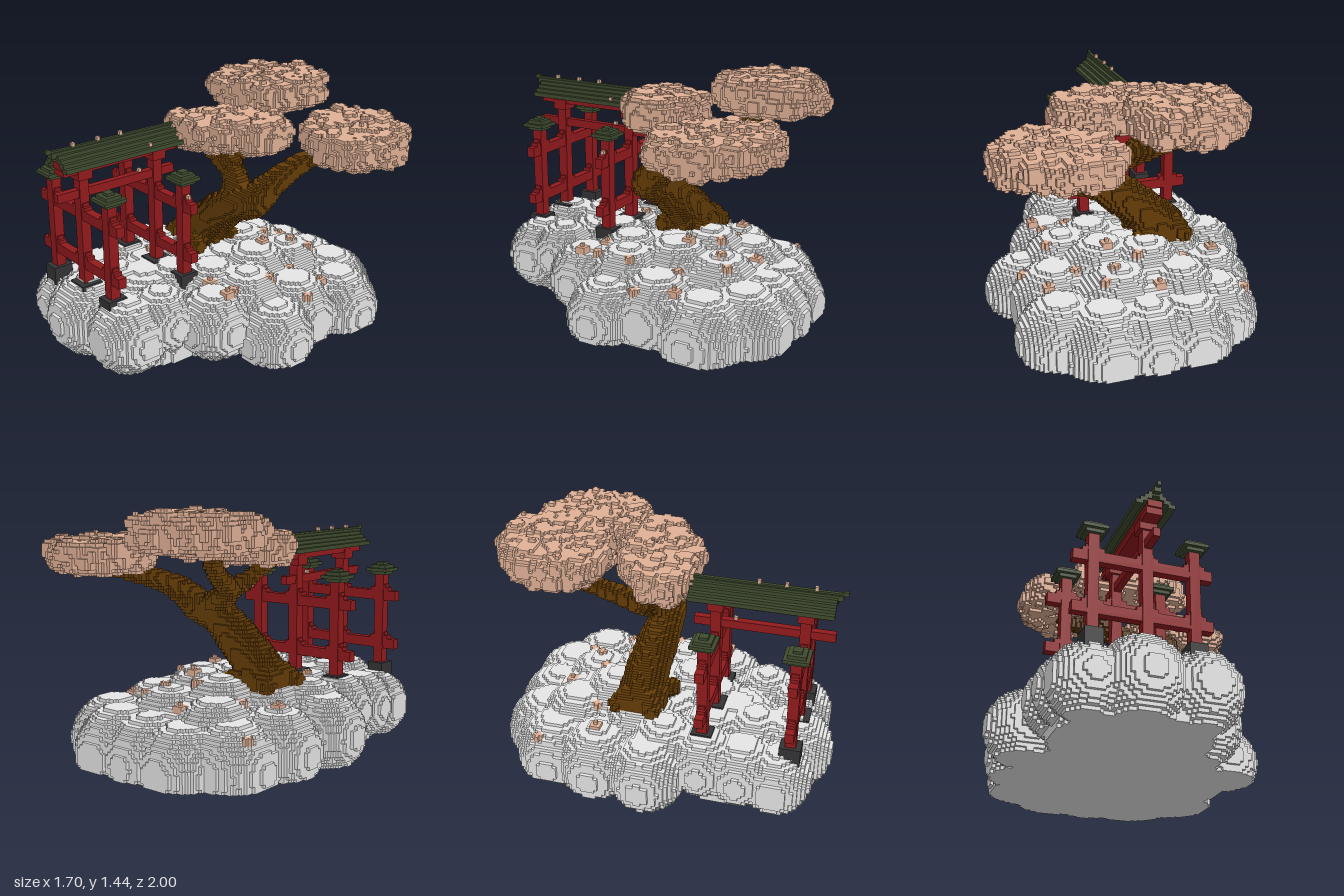
import * as THREE from 'three';

const S = 0.02; // voxel size
const mat = (name, color) => {
  const m = new THREE.MeshStandardMaterial({ color });
  m.name = name;
  return m;
};

export function createModel() {
  const M = {
    stone: mat('pale stone', 0xe6e6e6), bark: mat('bark brown', 0x643c06),
    blossom: mat('dusty blossom', 0xe0b197), red: mat('shrine red', 0x921a1d),
    green: mat('roof green', 0x3f4b2f), dark: mat('dark footing', 0x343436),
  };
  const model = new THREE.Group();
  model.name = 'treeAndGate';
  let seed = 7;
  const rand = () => (seed = (seed * 16807) % 2147483647) / 2147483647;

  // Voxel store: one shared grid, each cell remembers its part
  const grid = new Map();
  const key = (x, y, z) => x + 64 + 128 * (y + 1 + 128 * (z + 64));

  // Fill an ellipsoid, turned about y by the given angle
  function blob(part, cx, cy, cz, rx, ry = rx, rz = rx, turn = 0) {
    const R = Math.max(rx, rz), c = Math.cos(turn), s = Math.sin(turn);
    const lo = (v, r) => Math.floor((v - r) / S), hi = (v, r) => Math.ceil((v + r) / S);
    for (let x = lo(cx, R); x <= hi(cx, R); x++)
      for (let y = Math.max(0, lo(cy, ry)); y <= hi(cy, ry); y++)
        for (let z = lo(cz, R); z <= hi(cz, R); z++) {
          const dx = (x + 0.5) * S - cx, dy = (y + 0.5) * S - cy, dz = (z + 0.5) * S - cz;
          const u = (dx * c - dz * s) / rx, w = (dx * s + dz * c) / rz;
          if (u * u + w * w + (dy / ry) ** 2 <= 1) grid.set(key(x, y, z), [x, y, z, part]);
        }
  }

  // Stamp spheres along a curve; points are [x, y, z, radius]
  function limb(part, pts) {
    const curve = new THREE.CatmullRomCurve3(pts.map(p => new THREE.Vector3(p[0], p[1], p[2])));
    const n = 40;
    for (let i = 0; i <= n; i++) {
      const t = i / n, p = curve.getPoint(t), f = t * (pts.length - 1);
      const k = Math.min(Math.floor(f), pts.length - 2);
      blob(part, p.x, p.y, p.z, THREE.MathUtils.lerp(pts[k][3], pts[k + 1][3], f - k));
    }
  }

  // Rock: broad cores with rounded boulders around and on top
  blob('rock', -0.04, 0, -0.2, 0.57, 0.42, 0.74);
  blob('rock', -0.15, 0, 0.42, 0.44, 0.42, 0.42);
  [
    [-0.49, 0.18, 0.72, 0.2], [-0.22, 0.2, 0.76, 0.24], [0.12, 0.2, 0.73, 0.22],
    [0.17, 0.25, 0.54, 0.19], [0.33, 0.2, 0.28, 0.21], [0.54, 0.1, 0, 0.22],
    [0.3, 0.2, 0, 0.24], [0.42, 0.12, -0.26, 0.25], [0.47, 0.08, -0.58, 0.25],
    [0.26, 0.07, -0.73, 0.26], [0.02, 0.07, -0.75, 0.25], [-0.22, 0.06, -0.74, 0.25],
    [-0.43, 0.08, -0.6, 0.25], [-0.52, 0.12, -0.32, 0.24], [-0.62, 0.17, 0, 0.22],
    [-0.46, 0.22, 0.06, 0.22], [-0.5, 0.23, 0.3, 0.2], [-0.5, 0.21, 0.52, 0.2],
    [-0.25, 0.22, 0.55, 0.22], [-0.05, 0.23, 0.28, 0.22], [0.12, 0.22, -0.22, 0.25],
    [-0.12, 0.245, -0.32, 0.235], [-0.3, 0.22, -0.12, 0.24], [0.1, 0.18, -0.5, 0.24],
    [-0.25, 0.17, -0.52, 0.24], [-0.28, 0.22, 0.3, 0.21], [0.1, 0.23, 0.1, 0.22],
  ].forEach(b => blob('rock', ...b));

  // Trunk, roots and branches
  limb('trunk', [[-0.29, 0.44, -0.12, 0.14], [-0.2, 0.54, -0.12, 0.125], [-0.06, 0.66, -0.1, 0.115],
    [0.1, 0.77, -0.08, 0.1], [0.23, 0.82, -0.1, 0.095], [0.28, 0.91, -0.19, 0.075],
    [0.31, 1.0, -0.38, 0.055], [0.36, 1.04, -0.52, 0.045], [0.47, 1.07, -0.62, 0.035]]);
  limb('trunk', [[0.14, 0.8, -0.09, 0.09], [0.03, 0.88, -0.14, 0.07], [-0.07, 0.95, -0.2, 0.06],
    [-0.13, 1.03, -0.34, 0.05], [-0.2, 1.12, -0.48, 0.045], [-0.27, 1.22, -0.6, 0.04]]);
  limb('trunk', [[-0.04, 0.93, -0.17, 0.06], [-0.14, 1.0, -0.13, 0.045], [-0.21, 1.07, -0.08, 0.04],
    [-0.29, 1.15, -0.03, 0.04]]);
  [[-0.42, -0.02], [-0.39, -0.25], [-0.12, -0.24], [-0.14, 0.02]].forEach(([x, z]) =>
    limb('trunk', [[-0.3, 0.5, -0.12, 0.08], [(x - 0.3) / 2, 0.48, (z - 0.12) / 2, 0.065], [x, 0.44, z, 0.045]]));

  // Blossom pads: a flat core covered in two layers of small puffs
  function pad(part, cx, cy, cz, rx, rz, ry, turn, slope) {
    blob(part, cx, cy, cz, rx * 0.9, ry * 0.8, rz * 0.9, turn);
    const n = 130, c = Math.cos(turn), s = Math.sin(turn);
    for (let i = 0; i < n; i++) {
      const r = Math.sqrt((i + 0.5) / n), a = i * 2.39996;
      const u = Math.cos(a) * r * (rx - 0.06), w = Math.sin(a) * r * (rz - 0.06);
      const lift = (i % 2 ? 1 : -1) * (ry - 0.065) * (1 - 0.45 * r ** 4) + (rand() - 0.5) * 0.03;
      const x = u * c + w * s;
      blob(part, cx + x, cy + lift + x * slope, cz - u * s + w * c, 0.05 + rand() * 0.025);
    }
  }
  pad('backRightBlossom', -0.22, 1.31, -0.63, 0.385, 0.33, 0.112, 0.85, 0.04);
  pad('backLeftBlossom', 0.495, 1.15, -0.645, 0.4, 0.325, 0.105, -0.75, -0.03);
  pad('frontBlossom', 0.025, 1.2, -0.09, 0.41, 0.26, 0.1, 0.36, 0.08);

  // Fallen petals: small tufts resting on the rock
  const petalSpots = [[-0.55, -0.34], [0.11, -0.53], [0.58, -0.23], [0.39, 0.24], [-0.33, 0.23],
    [0.36, 0.16], [0.2, 0.2], [-0.6, -0.68], [0.3, -0.35], [0.1, -0.3], [-0.35, -0.4],
    [0.2, -0.6], [-0.1, -0.65], [0.4, -0.08], [-0.05, -0.45], [0.48, -0.42]];
  petalSpots.forEach(([px, pz], i) => {
    const x = Math.round(px / S), z = Math.round(pz / S);
    let y = 30;
    while (y > 0 && grid.get(key(x, y, z))?.[3] !== 'rock') y--;
    blob('fallenPetals', (x + 0.5) * S, (y + 1) * S, (z + 0.5) * S, i % 3 ? 0.026 : 0.033);
  });

  // Skin each part: exposed faces only, joined into strips
  function skin(part, material) {
    const pos = [], nor = [], idx = [];
    const open = (p, a, d) => {
      const c = grid.get(key(...p));
      if (!c || c[3] !== part) return false;
      const q = [...p];
      q[a] += d;
      return !grid.has(key(...q));
    };
    for (const [x, y, z, own] of grid.values()) {
      if (own !== part) continue;
      for (let a = 0; a < 3; a++) for (const d of [1, -1]) {
        const u = (a + 1) % 3, v = (a + 2) % 3, p = [x, y, z], q = [x, y, z];
        q[u]--;
        if (!open(p, a, d) || open(q, a, d)) continue;
        let len = 1;
        q[u] += 2;
        while (open(q, a, d)) { len++; q[u]++; }
        const base = pos.length / 3;
        for (const [i, j] of [[0, 0], [len, 0], [len, 1], [0, 1]]) {
          const w = [...p], nn = [0, 0, 0];
          w[u] += i; w[v] += j; nn[a] = d;
          if (d > 0) w[a]++;
          pos.push(w[0] * S, w[1] * S, w[2] * S);
          nor.push(...nn);
        }
        const order = d > 0 ? [0, 1, 2, 0, 2, 3] : [0, 2, 1, 0, 3, 2];
        idx.push(...order.map(k => base + k));
      }
    }
    const g = new THREE.BufferGeometry();
    g.setAttribute('position', new THREE.Float32BufferAttribute(pos, 3));
    g.setAttribute('normal', new THREE.Float32BufferAttribute(nor, 3));
    g.setIndex(idx);
    const mesh = new THREE.Mesh(g, material);
    mesh.name = part;
    model.add(mesh);
  }
  skin('rock', M.stone);
  skin('trunk', M.bark);
  ['backRightBlossom', 'backLeftBlossom', 'frontBlossom', 'fallenPetals'].forEach(p => skin(p, M.blossom));

  // Gate, built from boxes given as x, z centre, y range and x, z sizes
  const gate = new THREE.Group();
  gate.name = 'gate';
  model.add(gate);
  const box = (name, m, x, z, y0, y1, w, d) => {
    const b = new THREE.Mesh(new THREE.BoxGeometry(w, y1 - y0, d), m);
    b.position.set(x, (y0 + y1) / 2, z);
    b.name = name;
    gate.add(b);
  };
  const X = -0.195, Z = 0.545;
  for (const z of [0.29, 0.79]) {
    // Main post with footing, and the block under the top beam
    box('mainPost', M.red, X, z, 0.4, 1.12, 0.06, 0.06);
    box('mainFooting', M.dark, X, z, 0.38, 0.43, 0.13, 0.13);
    box('postBlock', M.red, X, z, 1.06, 1.12, 0.1, 0.09);
    // Cross rails with wedges beside every post
    for (const y of [0.55, 0.85]) {
      box('crossRail', M.red, -0.215, z, y - 0.03, y + 0.03, 0.77, 0.05);
      for (const px of [-0.49, X, 0.07]) {
        box('railWedge', M.red, px, z, y + 0.03, y + 0.05, 0.12, 0.05);
        box('railCollar', M.red, px, z, y + 0.05, y + 0.07, 0.08, 0.04);
      }
    }
    // Side posts with small stepped roofs
    for (const x of [-0.49, 0.07]) {
      box('sidePost', M.red, x, z, 0.4, 0.98, 0.06, 0.06);
      box('sideFooting', M.dark, x, z, 0.28, 0.43, 0.1, 0.12);
      box('capEave', M.green, x, z, 0.98, 1.0, 0.1, 0.1);
      box('capRoof', M.green, x, z, 1.0, 1.02, 0.14, 0.14);
      box('capStep', M.green, x, z, 1.02, 1.04, 0.1, 0.1);
      box('capTip', M.green, x, z, 1.04, 1.055, 0.05, 0.05);
    }
  }
  // Long beams and gable filling under the roof
  box('tieBeam', M.red, X, 0.56, 0.95, 1.0, 0.04, 0.79);
  box('topBeam', M.red, X, Z, 1.1, 1.14, 0.09, 0.76);
  box('gable', M.red, X, Z, 1.14, 1.18, 0.08, 0.78);
  // Stepped roof, mirrored about the ridge
  for (const s of [-1, 1])
    [[0.09, 1.14], [0.065, 1.16], [0.04, 1.18], [0.02, 1.2]].forEach(([o, y]) =>
      box('roofStep', M.green, X + s * o, Z, y, y + 0.025, 0.04, 0.8));
  box('ridge', M.green, X, Z, 1.21, 1.24, 0.04, 0.86);
  box('ridgeTip', M.green, X, 0.55, 1.235, 1.25, 0.02, 0.9);
  box('ridgeEnd', M.green, X, 0.985, 1.24, 1.26, 0.02, 0.03);
  // Petals caught on the gate
  [[X, 0.83, 1.25], [X, 0.67, 1.25], [X, 0.52, 1.25], [-0.11, 0.38, 1.17], [0.12, 0.29, 0.9], [X, 0.4, 1.0]]
    .forEach(([x, z, y]) => box('caughtPetal', M.blossom, x, z, y, y + S, S, S));
  return model;
}
